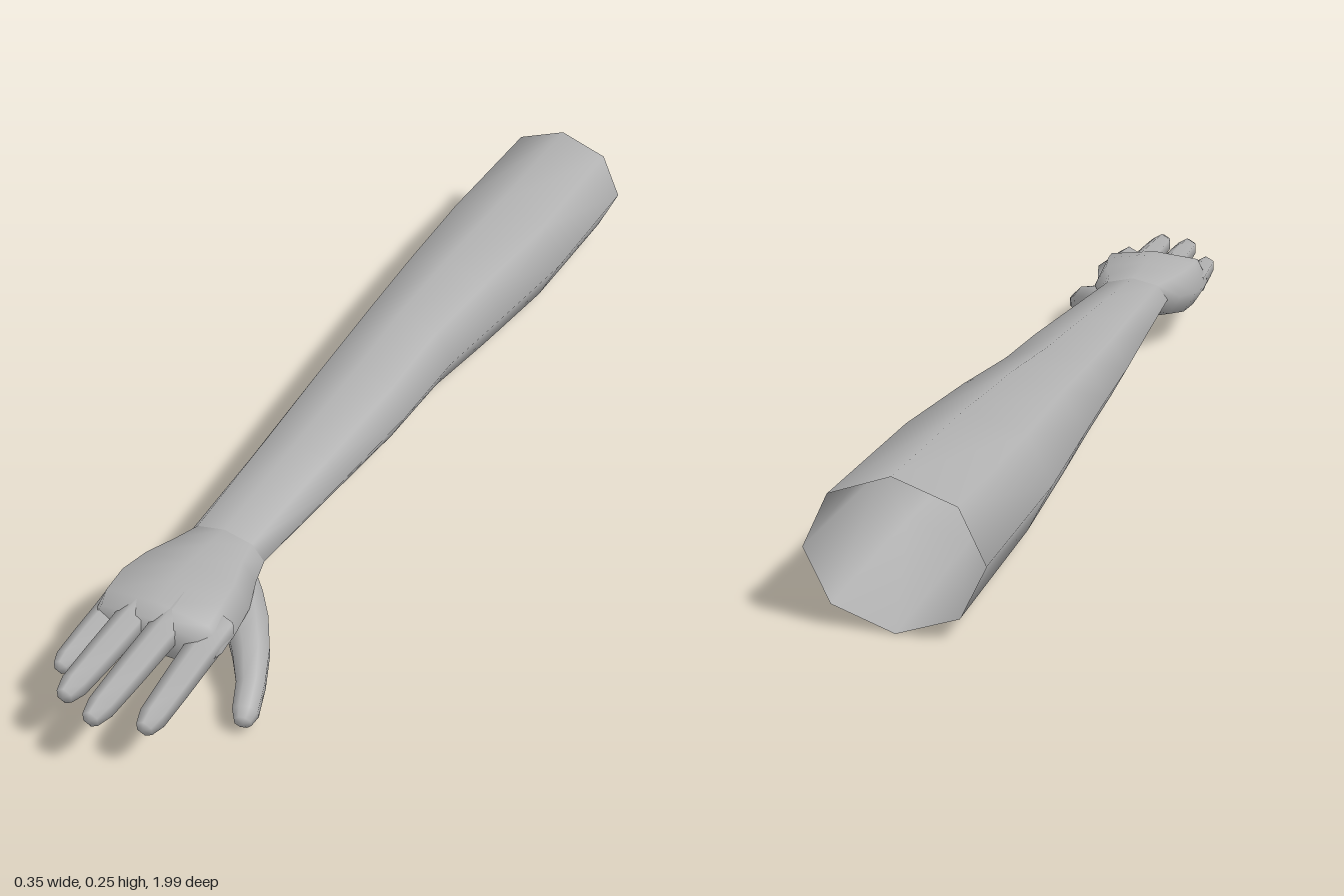
import * as THREE from 'three';

const skin = new THREE.MeshStandardMaterial({ color: 0xb0b0b0, side: THREE.DoubleSide });
skin.name = 'plain grey';

// Smooth skin through rings of equal size; an optional tip point closes the end
function loft(name, rings, tip) {
  const n = rings[0].length;
  const points = rings.flat();
  const index = [];
  for (let i = 0; i < rings.length - 1; i++) {
    for (let j = 0; j < n; j++) {
      const k = (j + 1) % n;
      const a = i * n + j, b = i * n + k, c = a + n, d = b + n;
      index.push(a, b, d, a, d, c);
    }
  }
  if (tip) {
    const last = (rings.length - 1) * n;
    points.push(tip);
    for (let j = 0; j < n; j++) index.push(last + j, last + (j + 1) % n, points.length - 1);
  }
  const geometry = new THREE.BufferGeometry().setFromPoints(points);
  geometry.setIndex(index);
  geometry.computeVertexNormals();
  const mesh = new THREE.Mesh(geometry, skin);
  mesh.name = name;
  return mesh;
}

// Eight-sided cross-section; a power below 1 makes it boxier
function section([z, left, right, top, middle, bottom, power = 1]) {
  const bend = (v) => Math.sign(v) * Math.pow(Math.abs(v), power);
  return Array.from({ length: 8 }, (_, j) => {
    const a = (j * Math.PI) / 4;
    const c = Math.abs(Math.cos(a)) < 1e-6 ? 0 : bend(Math.cos(a));
    const s = Math.abs(Math.sin(a)) < 1e-6 ? 0 : bend(Math.sin(a));
    return new THREE.Vector3(
      (left + right) / 2 + (c * (right - left)) / 2,
      middle + s * (s > 0 ? top - middle : middle - bottom), z);
  });
}

// Tapering digit along points [x, y, z, radius], with a rounded end
function digit(name, path, sides) {
  const centres = path.map(([x, y, z]) => new THREE.Vector3(x, y, z));
  const up = new THREE.Vector3(0, 1, 0);
  const last = path.length - 1;
  const direction = (i) => centres[Math.min(i + 1, last)].clone()
    .sub(centres[Math.max(i - 1, 0)]).normalize();
  const rings = path.map((p, i) => {
    const d = direction(i);
    const across = up.clone().cross(d).normalize();
    const over = d.clone().cross(across);
    return Array.from({ length: sides }, (_, j) => {
      const a = ((j + 0.5) * 2 * Math.PI) / sides;
      return centres[i].clone()
        .addScaledVector(across, Math.cos(a) * p[3])
        .addScaledVector(over, Math.sin(a) * p[3]);
    });
  });
  const tip = centres[last].clone().addScaledVector(direction(last), 0.005);
  return loft(name, rings, tip);
}

export function createModel() {
  const model = new THREE.Group();
  model.name = 'arm';

  // Forearm, open at the back: z, left, right, top, middle, bottom
  const wrist = [0.51, -0.119, 0.041, 0.175, 0.132, 0.09];
  model.add(loft('forearm', [
    [-1, -0.176, 0.117, 0.258, 0.13, 0.003],
    [-0.65, -0.18, 0.117, 0.25, 0.13, 0.01],
    [-0.4, -0.168, 0.092, 0.24, 0.132, 0.024],
    [-0.2, -0.158, 0.07, 0.225, 0.132, 0.041],
    [0, -0.15, 0.069, 0.21, 0.131, 0.048],
    [0.25, -0.134, 0.055, 0.193, 0.131, 0.066],
    wrist,
  ].map(section)));

  // Palm, widening from the wrist and closing between the fingers
  model.add(loft('palm', [
    wrist,
    [0.56, -0.138, 0.053, 0.178, 0.127, 0.07, 0.9],
    [0.62, -0.16, 0.075, 0.184, 0.122, 0.062, 0.75],
    [0.68, -0.168, 0.084, 0.187, 0.12, 0.068, 0.65],
    [0.735, -0.164, 0.089, 0.182, 0.12, 0.078, 0.62],
    [0.765, -0.155, 0.083, 0.17, 0.122, 0.095, 0.65],
  ].map(section), new THREE.Vector3(-0.035, 0.135, 0.77)));

  // Fingers: name, base x, base y, tip x, tip y, tip z
  for (const [name, bx, by, tx, ty, tz] of [
    ['littleFinger', -0.138, 0.123, -0.132, 0.121, 0.895],
    ['ringFinger', -0.076, 0.147, -0.073, 0.143, 0.967],
    ['middleFinger', -0.01, 0.15, -0.005, 0.144, 0.993],
    ['indexFinger', 0.057, 0.134, 0.067, 0.116, 0.948],
  ]) {
    const bz = 0.69;
    const size = name === 'littleFinger' ? 0.9 : 1;
    const stations = [[0, 0.032], [0.3, 0.029], [0.6, 0.027], [0.88, 0.024], [0.98, 0.016]];
    model.add(digit(name, stations.map(([t, r]) => [
      bx + (tx - bx) * t, by + (ty - by) * t, bz + (tz - bz) * t, r * size]), 6));
  }

  // Thumb with the fleshy mound at its base
  model.add(digit('thumb', [
    [0.0, 0.108, 0.525, 0.026],
    [0.03, 0.09, 0.57, 0.039],
    [0.068, 0.083, 0.62, 0.041],
    [0.105, 0.071, 0.67, 0.035],
    [0.133, 0.052, 0.72, 0.027],
    [0.151, 0.038, 0.77, 0.024],
    [0.156, 0.034, 0.788, 0.016],
  ], 8));

  return model;
}
